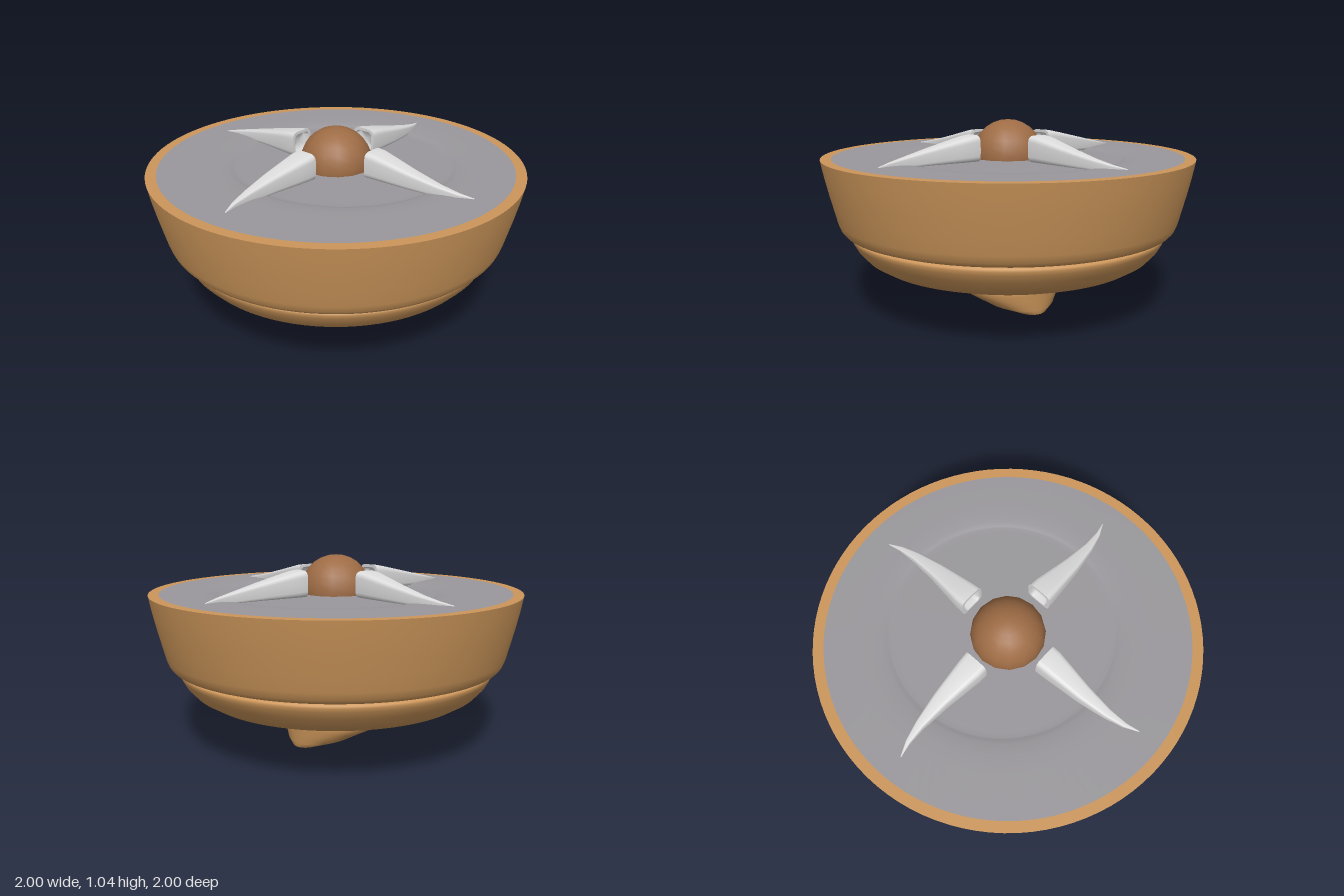
import * as THREE from 'three';

const mat = (name, color, side = THREE.FrontSide) => {
  const m = new THREE.MeshStandardMaterial({ color, side });
  m.name = name;
  return m;
};

// Smooth skin over closed rings of [x, y, z] points; repeat a ring for a sharp edge
function loft(rings) {
  const n = rings[0].length, index = [];
  for (let r = 0; r < rings.length - 1; r++) {
    for (let i = 0; i < n; i++) {
      const a = r * n + i, b = r * n + (i + 1) % n;
      index.push(a, b, a + n, b, b + n, a + n);
    }
  }
  const g = new THREE.BufferGeometry();
  g.setAttribute('position', new THREE.Float32BufferAttribute(rings.flat(2), 3));
  g.setIndex(index);
  g.computeVertexNormals();
  return g;
}

const ringOf = (n, fn) => Array.from({ length: n }, (_, i) => fn((i / n) * Math.PI * 2));
const profile = (pts) => pts.map(([r, y]) => new THREE.Vector2(r, y));

export function createModel() {
  const group = new THREE.Group();
  const wood = mat('warm tan', 0xcc965a, THREE.DoubleSide);
  const grey = mat('grey', 0x9a989c);
  const brown = mat('brown', 0x9e6c45);
  const pale = mat('pale grey', 0xdcdcdc);

  const add = (name, geometry, material, parent = group) => {
    const mesh = new THREE.Mesh(geometry, material);
    mesh.name = name;
    parent.add(mesh);
    return mesh;
  };

  // Lower bowl and flared upper wall, meeting in a groove
  add('lowerBowl', new THREE.LatheGeometry(profile([
    [0.26, 0.178], [0.38, 0.197], [0.5, 0.218], [0.62, 0.245], [0.72, 0.28], [0.785, 0.32],
    [0.83, 0.37], [0.852, 0.41], [0.86, 0.43], [0.857, 0.442], [0.84, 0.45],
  ]), 96), wood);
  add('upperWall', new THREE.LatheGeometry(profile([
    [0.84, 0.45], [0.868, 0.455], [0.895, 0.465], [0.912, 0.485], [0.925, 0.52],
    [0.945, 0.6], [0.965, 0.68], [0.985, 0.77], [1, 0.85],
  ]), 96), wood);
  add('rim', new THREE.RingGeometry(0.945, 1, 96).rotateX(-Math.PI / 2).translate(0, 0.85, 0), wood);

  // Grey top with a shallow dish set slightly off centre
  const top = new THREE.LatheGeometry(profile([
    [0.945, 0.85], [0.76, 0.85], [0.68, 0.849], [0.62, 0.844], [0.595, 0.838], [0.585, 0.834], [0.55, 0.834], [0, 0.834],
  ]), 96);
  const p = top.attributes.position;
  for (let i = 0; i < p.count; i++) {
    if (Math.hypot(p.getX(i), p.getZ(i)) < 0.8) p.setXYZ(i, p.getX(i) + 0.05, p.getY(i), p.getZ(i) + 0.01);
  }
  add('topPlate', top, grey);

  // Foot: a skewed cone whose tip lies to one side [radius, centre x, y, tilt]
  const footRings = [
    [0.27, 0, 0.185, 0], [0.285, 0, 0.168, 0], [0.292, 0, 0.142, 0], [0.286, 0.005, 0.122, 0.004],
    [0.265, 0.022, 0.1, 0.014], [0.2, 0.085, 0.058, 0.028], [0.1, 0.178, 0.02, 0.018],
    [0.04, 0.235, 0.006, 0.005], [0, 0.262, 0, 0],
  ].map(([r, c, y, t]) => ringOf(64, (a) => [c + r * Math.cos(a), y - t * Math.cos(a), r * Math.sin(a)]));
  add('foot', loft(footRings), wood);

  // Centre dome
  add('dome', new THREE.SphereGeometry(0.195, 16, 8, 0, Math.PI * 2, 0, Math.PI * 0.55)
    .translate(0, 0.845, 0), brown);

  // Curved fang with rounded-box sections [x, zMin, zMax, top]
  const section = ([x, z0, z1, y1], scale = 1) => ringOf(24, (a) => {
    const sq = (v) => Math.sign(v) * Math.abs(v) ** 0.45;
    const y0 = 0.83;
    return [
      x,
      (y0 + y1) / 2 + sq(Math.cos(a)) * scale * (y1 - y0) / 2,
      (z0 + z1) / 2 + sq(Math.sin(a)) * scale * (z1 - z0) / 2,
    ];
  });
  const base = [0.243, -0.078, 0.063, 0.971];
  const hollow = [0.275, -0.078, 0.063, 0.971];
  const body = [
    base, [0.29, -0.076, 0.061, 0.966], [0.36, -0.066, 0.054, 0.951], [0.5, -0.046, 0.04, 0.92],
    [0.65, -0.034, 0.015, 0.887], [0.75, -0.038, -0.012, 0.867], [0.822, -0.052, -0.047, 0.853],
  ].map((s) => section(s));
  const fang = loft([
    section(hollow, 0), section(hollow, 0.7), section(base, 0.78), section(base, 0.78), section(base), ...body,
    section([0.824, -0.05, -0.05, 0.85], 0),
  ]);
  for (let i = 0; i < 4; i++) add('fang' + (i + 1), fang, pale).rotation.y = (i * Math.PI) / 2;

  return group;
}
